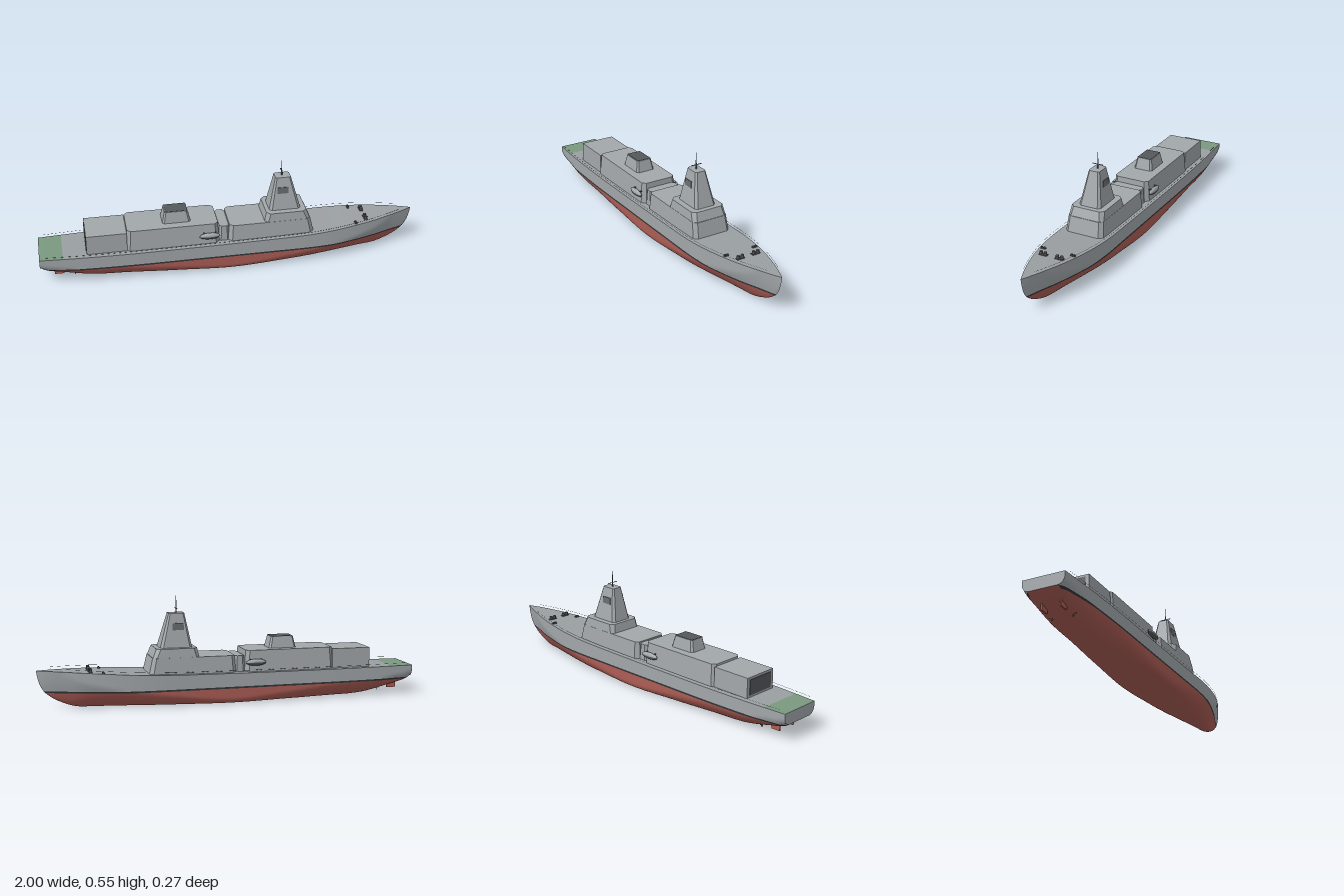
import * as THREE from 'three';

const mat = (name, color, side = THREE.FrontSide) => {
  const m = new THREE.MeshStandardMaterial({ color, side });
  m.name = name;
  return m;
};

// Smooth curve through [x, value] pairs
function curve(pairs) {
  const c = new THREE.CubicInterpolant(pairs.map(p => p[0]), pairs.map(p => p[1]), 1, []);
  return x => c.evaluate(x)[0];
}

const deckY = curve([[-1, 0.153], [-0.5, 0.154], [0, 0.157], [0.4, 0.164], [0.7, 0.181], [0.88, 0.19], [1, 0.194]]);
const beam = curve([[-1, 0.112], [-0.8, 0.124], [-0.55, 0.132], [-0.2, 0.133], [0.2, 0.133], [0.45, 0.131],
  [0.6, 0.117], [0.75, 0.088], [0.88, 0.048], [0.95, 0.022], [1, 0]]);
const keelRaw = curve([[-1, 0.09], [-0.98, 0.077], [-0.9, 0.049], [-0.75, 0.009], [-0.65, 0], [0, 0], [0.7, 0],
  [0.8, 0.003], [0.87, 0.025], [0.93, 0.058], [0.975, 0.105], [0.992, 0.15], [1, 0.194]]);
const keelY = x => Math.max(0, Math.min(deckY(x), keelRaw(x)));
const flatness = curve([[-1, 0.7], [-0.85, 0.35], [-0.7, 0.25], [-0.3, 0.55], [0, 0.8], [0.3, 0.55], [0.6, 0.2],
  [0.8, 0.03], [1, 0]]);
const bilge = curve([[-1, 0.04], [-0.85, 0.06], [-0.6, 0.075], [-0.3, 0.05], [0, 0.028], [0.3, 0.055], [0.6, 0.095],
  [0.85, 0.15], [1, 0.17]]);

// Half width of the hull at station x and height y: round amidships, more of a V at the ends
function halfWidth(x, y) {
  const f = Math.max(0, flatness(x));
  const s = Math.min(1, Math.max(0, (y - keelY(x)) / Math.max(0.001, Math.min(bilge(x), deckY(x) - keelY(x)))));
  const round = Math.sqrt(1 - (1 - s) ** 2), vee = 0.4 * (1 - f);
  return Math.max(0, beam(x)) * (f + (1 - f) * (round + (s - round) * vee));
}

const stations = [];
for (let i = 0; i <= 90; i++) stations.push(-1 + 1.8 * i / 90);
for (let i = 1; i <= 30; i++) stations.push(0.8 + 0.2 * Math.sin(i / 30 * Math.PI / 2));

// Surface from rows of points: pointAt(x, row) over the given stations
function sheet(xs, rows, pointAt, flip = false) {
  const pos = [], idx = [];
  for (const x of xs) for (let r = 0; r < rows; r++) pos.push(...pointAt(x, r));
  for (let i = 0; i < xs.length - 1; i++) for (let r = 0; r < rows - 1; r++) {
    const a = i * rows + r, b = a + rows, c = a + 1, d = b + 1;
    idx.push(...(flip ? [c, b, d, c, a, b] : [c, d, b, c, b, a]));
  }
  const g = new THREE.BufferGeometry();
  g.setAttribute('position', new THREE.Float32BufferAttribute(pos, 3));
  g.setIndex(idx);
  g.computeVertexNormals();
  return g;
}

// Tapered block with chamfered corners; each level is [y, x0, x1, halfZ, chamfer]
function block(bottom, top) {
  const ring = ([y, x0, x1, h, c]) => [[x1 - c, -h], [x0 + c, -h], [x0, -h + c], [x0, h - c],
    [x0 + c, h], [x1 - c, h], [x1, h - c], [x1, -h + c]].map(([x, z]) => [x, y, z]);
  const B = ring(bottom), T = ring(top), pos = [];
  for (let i = 0; i < 8; i++) {
    const j = (i + 1) % 8;
    for (const p of [B[i], B[j], T[j], B[i], T[j], T[i]]) pos.push(...p);
    if (i > 0 && i < 7) pos.push(...T[0], ...T[i], ...T[j], ...B[0], ...B[j], ...B[i]);
  }
  const g = new THREE.BufferGeometry();
  g.setAttribute('position', new THREE.Float32BufferAttribute(pos, 3));
  g.computeVertexNormals();
  return g;
}

export function createModel() {
  const ship = new THREE.Group();
  ship.name = 'ship';
  const grey = mat('ship grey', 0xa2a7aa);
  const deckGrey = mat('deck grey', 0x9a9fa2, THREE.DoubleSide);
  const panelGrey = mat('panel grey', 0x6c7073);
  const dark = mat('dark grey', 0x55585b);
  const boot = mat('boot stripe', 0x333537);
  const red = mat('bottom red', 0xac5d55);
  const green = mat('flight deck green', 0x7b9980, THREE.DoubleSide);
  const bronze = mat('propeller metal', 0x5c6a5e);

  const add = (name, geo, m, x = 0, y = 0, z = 0, parent = ship) => {
    const mesh = new THREE.Mesh(geo, m);
    mesh.name = name;
    mesh.position.set(x, y, z);
    parent.add(mesh);
    return mesh;
  };
  const box = (name, w, h, d, m, x, y, z) => add(name, new THREE.BoxGeometry(w, h, d), m, x, y, z);

  // Hull, in three painted bands on both sides
  const TOP = 0.087, LOW = 0.078;
  const bands = [
    ['topsides', grey, 7, (x, r) => deckY(x) + (TOP - deckY(x)) * r / 6],
    ['bootStripe', boot, 2, (x, r) => (r ? LOW : TOP)],
    ['bottom', red, 16, (x, r) => {
      const k = Math.min(keelY(x), LOW);
      return k + (LOW - k) * (1 - Math.sin(Math.min(r, 14) / 14 * Math.PI / 2));
    }],
  ];
  for (const [name, m, rows, level] of bands) for (const s of [1, -1]) {
    add(name, sheet(stations, rows, (x, r) => {
      const y = Math.max(level(x, r), keelY(x));
      return [x, y, r === 15 ? 0 : s * halfWidth(x, y)];
    }, s < 0), m);
  }

  // Transom
  const right = [];
  for (let i = 0; i <= 10; i++) {
    const y = keelY(-1) + (deckY(-1) - keelY(-1)) * i / 10;
    right.push(new THREE.Vector2(halfWidth(-1, y), y));
  }
  const left = right.map(p => new THREE.Vector2(-p.x, p.y)).reverse();
  add('transom', new THREE.ShapeGeometry(new THREE.Shape([...right, ...left])).rotateY(-Math.PI / 2), grey, -1);

  // Decks
  const deckPoint = (x, r) => [x, deckY(x), (r ? 1 : -1) * halfWidth(x, deckY(x))];
  add('flightDeck', sheet(stations.filter(x => x < -0.879), 2, deckPoint), green);
  add('mainDeck', sheet(stations.filter(x => x > -0.881), 2, deckPoint), deckGrey);

  // Superstructure
  add('hangar', block([0.15, -0.757, -0.548, 0.097, 0], [0.257, -0.757, -0.548, 0.095, 0]), grey);
  box('hangarDoor', 0.004, 0.08, 0.155, dark, -0.758, 0.205, 0);
  add('aftBlock', block([0.15, -0.556, -0.065, 0.106, 0.02], [0.267, -0.546, -0.073, 0.097, 0.018]), grey);
  add('passage', block([0.15, -0.07, -0.01, 0.09, 0.012], [0.24, -0.065, -0.015, 0.085, 0.012]), grey);
  add('forwardBlock', block([0.15, -0.02, 0.441, 0.107, 0.02], [0.245, -0.012, 0.419, 0.099, 0.018]), grey);
  add('bridge', block([0.245, 0.175, 0.416, 0.098, 0.018], [0.291, 0.185, 0.398, 0.093, 0.02]), grey);

  // Funnel
  add('funnel', block([0.266, -0.358, -0.21, 0.053, 0.01], [0.327, -0.345, -0.225, 0.042, 0.008]), grey);
  box('funnelTop', 0.114, 0.003, 0.078, dark, -0.285, 0.327, 0);

  // Mast tower with radar panels, pole and yard
  add('tower', block([0.29, 0.205, 0.372, 0.061, 0.014], [0.466, 0.24, 0.322, 0.03, 0.008]), grey);
  for (const s of [1, -1]) box('radarPanel', 0.058, 0.036, 0.003, panelGrey, 0.277, 0.398, s * 0.045);
  add('mastPole', new THREE.CylinderGeometry(0.001, 0.004, 0.088, 8), panelGrey, 0.278, 0.509, 0);
  box('mastYard', 0.003, 0.003, 0.06, panelGrey, 0.278, 0.488, 0);

  for (const s of [1, -1]) {
    // Ship's boats and davits
    add('boat', new THREE.SphereGeometry(1, 16, 10), grey, -0.12, 0.207, s * 0.115).scale.set(0.054, 0.017, 0.013);
    add('boatSkirt', new THREE.SphereGeometry(1, 16, 6, 0, Math.PI * 2, Math.PI / 2, Math.PI / 2), dark,
      -0.12, 0.207, s * 0.115).scale.set(0.055, 0.018, 0.014);
    for (const x of [-0.15, -0.09]) box('davit', 0.005, 0.006, 0.024, dark, x, 0.22, s * 0.102);

    // Mooring bollards
    for (const [x, zs, r, h] of [[0.733, [0.033, 0.057], 0.008, 0.018], [0.672, [0.076, 0.09], 0.005, 0.009]]) {
      for (const z of zs) {
        add('bollard', new THREE.CylinderGeometry(r, r, h, 10), dark, x, deckY(x) + h / 2, s * z);
      }
      box('bollardBase', 2.4 * r, 0.004, zs[1] - zs[0] + 2.4 * r, dark, x, deckY(x) + 0.002, s * (zs[0] + zs[1]) / 2);
    }

    // Guard rail following the deck edge
    const edge = x => new THREE.Vector3(x, deckY(x) + 0.014, s * (halfWidth(x, deckY(x)) - 0.001));
    const path = [];
    for (let x = -0.97; x < 0.98; x += 0.05) path.push(edge(x));
    add('guardRail', new THREE.TubeGeometry(new THREE.CatmullRomCurve3(path), 120, 0.0006, 4), panelGrey);

    // Rudder, shaft and propeller
    box('rudder', 0.05, 0.055, 0.007, red, -0.903, 0.053, s * 0.05);
    const shaft = add('shaft', new THREE.CylinderGeometry(0.003, 0.003, 0.1, 8), bronze, -0.775, 0.033, s * 0.055);
    shaft.rotation.z = Math.PI / 2;
    const propeller = new THREE.Group();
    propeller.name = 'propeller';
    propeller.position.set(-0.822, 0.033, s * 0.055);
    ship.add(propeller);
    for (let i = 0; i < 4; i++) {
      const arm = new THREE.Group();
      arm.rotation.x = i * Math.PI / 2;
      propeller.add(arm);
      const blade = add('blade', new THREE.BoxGeometry(0.002, 0.014, 0.008), bronze, 0, 0.009, 0, arm);
      blade.rotation.y = 0.6;
    }
  }
  return ship;
}
